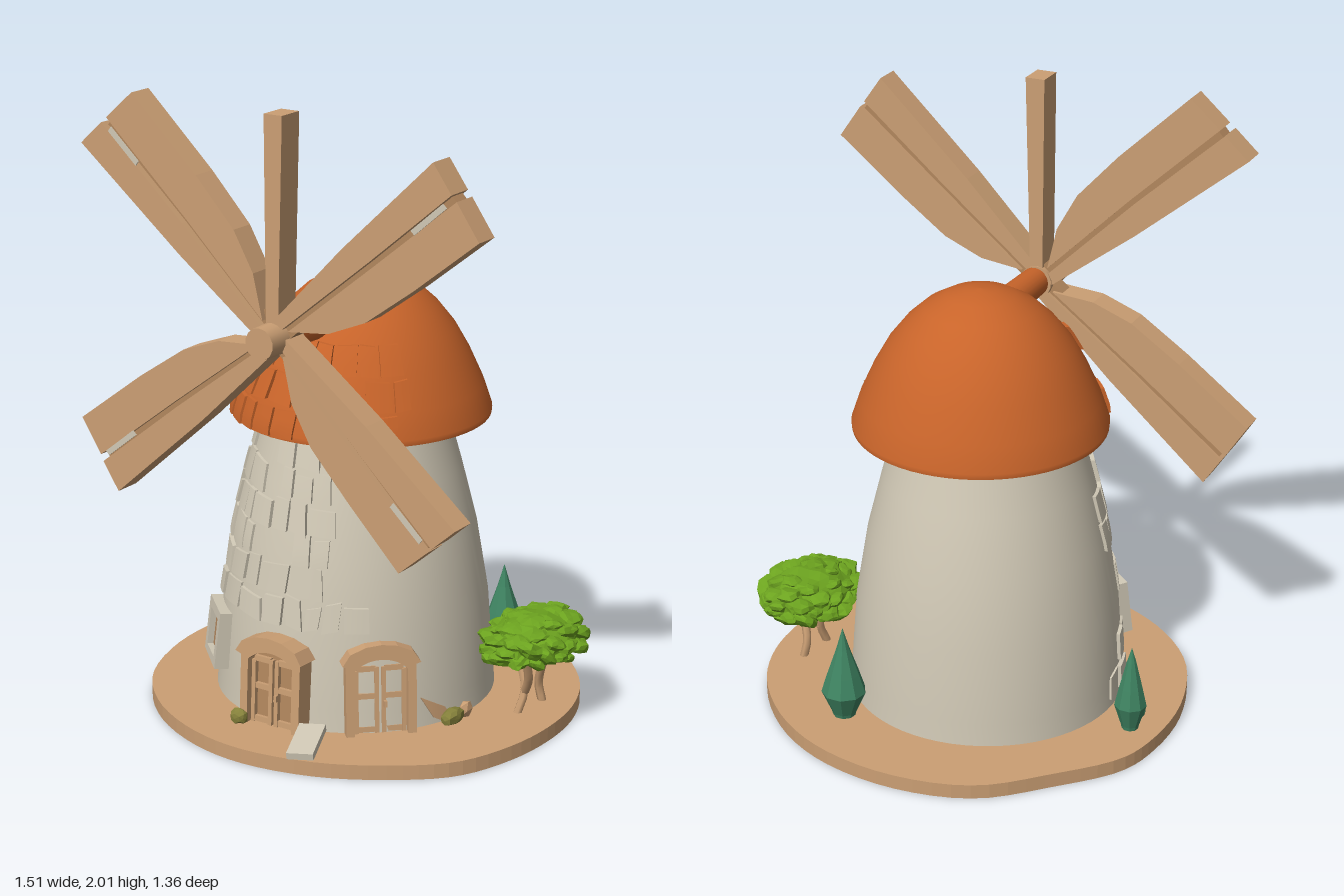
import * as THREE from 'three';

const mat = (name, color) => new THREE.MeshStandardMaterial({ name, color });

// Small seeded random
function seeded(seed) {
  return () => ((seed = (seed * 16807) % 2147483647) / 2147483647);
}

// Radius of a [radius, height] profile at height y
function radiusAt(profile, y) {
  for (let i = 1; i < profile.length; i++) {
    const [r0, y0] = profile[i - 1], [r1, y1] = profile[i];
    if (y <= y1) return r0 + (r1 - r0) * Math.max(0, (y - y0) / (y1 - y0));
  }
  return profile[profile.length - 1][0];
}

// Curved slab hugging a round profile; angle 0 faces +z and grows toward +x
function slab(profile, a0, a1, y0, y1, thick, skew = 0) {
  const g = new THREE.BoxGeometry(1, 1, 1, 4, 3, 1), p = g.attributes.position;
  for (let i = 0; i < p.count; i++) {
    const s = p.getX(i) + 0.5, t = p.getY(i) + 0.5;
    const y = y0 + (y1 - y0) * t + skew * (s - 0.5);
    const a = a0 + (a1 - a0) * s + skew * (t - 0.5) * 2;
    const r = radiusAt(profile, y) + (p.getZ(i) > 0 ? thick : -0.02);
    p.setXYZ(i, r * Math.sin(a), y, r * Math.cos(a));
  }
  g.computeVertexNormals();
  return g;
}

function flat(g) {
  const f = g.index ? g.toNonIndexed() : g;
  f.computeVertexNormals();
  return f;
}

// Icosahedron roughened by a position rule
function lump(detail, rough, seed) {
  const g = new THREE.IcosahedronGeometry(1, detail), p = g.attributes.position;
  const v = new THREE.Vector3();
  for (let i = 0; i < p.count; i++) {
    v.fromBufferAttribute(p, i);
    const n = Math.sin(v.x * 11 + seed) + Math.sin(v.y * 13 + seed * 2) + Math.sin(v.z * 12 - seed);
    v.multiplyScalar(1 + rough * n / 2);
    p.setXYZ(i, v.x, v.y, v.z);
  }
  return flat(g);
}

const polygon = (pts) => new THREE.Shape(pts.map(([x, y]) => new THREE.Vector2(x, y)));
const extrude = (shape, depth) =>
  new THREE.ExtrudeGeometry(shape, { depth, bevelEnabled: false, curveSegments: 12 });

export function createModel() {
  const root = new THREE.Group();
  const wood = mat('wood', 0xcb9f74), stone = mat('stone', 0xd0c8b5);
  const tile = mat('roofTile', 0xc8642a), leaf = mat('leaf', 0x6ca31f);
  const pine = mat('cypress', 0x3f8462), moss = mat('moss', 0x84803a);
  const darkWood = mat('darkWood', 0xb2875e);

  const add = (name, geo, material, parent = root, pos = [0, 0, 0], rot = [0, 0, 0], scale = [1, 1, 1]) => {
    const m = new THREE.Mesh(geo, material);
    m.name = name;
    m.position.set(...pos);
    m.rotation.set(...rot);
    m.scale.set(...scale);
    parent.add(m);
    return m;
  };
  const group = (name, pos = [0, 0, 0], parent = root) => {
    const g = new THREE.Group();
    g.name = name;
    g.position.set(...pos);
    parent.add(g);
    return g;
  };
  const lathe = (pts, seg = 64) =>
    new THREE.LatheGeometry(pts.map(([r, y]) => new THREE.Vector2(r, y)), seg);

  // Irregular ground plate
  const rim = [[0, -0.685], [0.27, -0.65], [0.48, -0.54], [0.65, -0.355], [0.725, -0.17], [0.74, 0.02],
    [0.71, 0.21], [0.63, 0.39], [0.48, 0.52], [0.27, 0.63], [0.02, 0.675], [-0.19, 0.64], [-0.4, 0.53],
    [-0.56, 0.355], [-0.645, 0.1], [-0.645, -0.125], [-0.6, -0.28], [-0.44, -0.46], [-0.25, -0.625]];
  const loop = new THREE.CatmullRomCurve3(rim.map(([x, z]) => new THREE.Vector3(x, -z, 0)), true);
  const plate = extrude(polygon(loop.getPoints(80).slice(0, -1).map((p) => [p.x, p.y])), 0.048);
  add('ground', plate.rotateX(-Math.PI / 2), wood);

  // Tower wall with raised stones over the front left
  const wall = [[0.455, 0.04], [0.448, 0.12], [0.43, 0.36], [0.39, 0.6], [0.34, 0.8], [0.29, 0.98], [0.285, 1.02]];
  const tower = group('tower', [0.01, 0, 0.005]);
  add('towerWall', lathe(wall), stone, tower);
  const rnd = seeded(77);
  for (let row = 0; row < 9; row++) {
    const y0 = 0.08 + row * 0.098;
    for (let a = -1.6 + rnd() * 0.2; a < 0.85;) {
      const w = 0.14 + rnd() * 0.16, h = 0.07 + rnd() * 0.03;
      const nearDoor = y0 < 0.33 && a + w > -0.3, nearWindow = y0 > 0.06 && y0 < 0.36 && a + w > -1.05 && a < -0.55;
      if (!nearDoor && !nearWindow && rnd() < (a > 0.35 || a < -1.2 ? 0.35 : 0.88))
        add('wallStone', slab(wall, a, a + w - 0.03, y0, y0 + h, 0.006 + rnd() * 0.008, (rnd() - 0.5) * 0.03), stone, tower);
      a += w;
    }
  }
  add('wallDirt', slab(wall, 1.1, 1.3, 0.045, 0.12, 0.004, -0.05), wood, tower);

  // Domed roof, dark underside lip and front shingles
  const dome = [[0.41, 0.972], [0.412, 0.99], [0.385, 1.07], [0.34, 1.17], [0.295, 1.25], [0.24, 1.32],
    [0.18, 1.375], [0.11, 1.415], [0.05, 1.431], [0, 1.435]];
  const roof = group('roof', [0.03, 0, -0.005]);
  add('roofDome', lathe(dome), tile, roof);
  add('roofUnderside', lathe([[0.25, 0.992], [0.41, 0.972]]), tile, roof);
  for (let row = 0; row < 3; row++) {
    for (let a = -0.95 + row * 0.08; a < 0.85;) {
      const w = 0.15 + rnd() * 0.12, y = 0.978 + row * 0.1;
      if (rnd() < 0.85)
        add('shingle', slab(dome, a, a + w - 0.03, y, y + 0.085, 0.008 + rnd() * 0.006, (rnd() - 0.5) * 0.015), tile, roof);
      a += w;
    }
  }

  // Axle and hub
  const sails = group('sails', [0.02, 1.315, 0]);
  add('axle', new THREE.CylinderGeometry(0.046, 0.056, 0.38, 24), tile, sails, [0.005, 0, 0.26], [Math.PI / 2, 0, 0]);
  add('hub', new THREE.CylinderGeometry(0.05, 0.054, 0.16, 14), wood, sails, [0, 0, 0.465], [Math.PI / 2, 0, 0]);

  // Four wide sails: two thick planks either side of a recessed beam
  for (const [deg, len] of [[143.8, 0.88], [47.2, 0.83], [-36.7, 0.81], [224.8, 0.85]]) {
    const sail = group('sail', [0, 0, 0.39], sails);
    sail.rotation.z = THREE.MathUtils.degToRad(deg);
    add('sparPlank', extrude(polygon([[0.03, 0.035], [0.4, 0.028], [len, 0], [len - 0.022, -0.105],
      [0.45, -0.06], [0.03, 0]]), 0.09), wood, sail);
    add('bladePlank', extrude(polygon([[0.06, -0.02], [0.45, -0.078], [len - 0.026, -0.128],
      [len - 0.055, -0.258], [0.5, -0.215], [0.3, -0.175], [0.17, -0.115]]), 0.085), wood, sail);
    add('sailBeam', extrude(polygon([[0, 0.01], [0.45, -0.05], [len - 0.035, -0.1], [len - 0.038, -0.135],
      [0.45, -0.085], [0, -0.03]]), 0.055), darkWood, sail, [0, 0, 0.012]);
    add('paleChip', extrude(polygon([[len - 0.2, -0.088], [len - 0.06, -0.104], [len - 0.06, -0.122],
      [len - 0.2, -0.106]]), 0.004), stone, sail, [0, 0, 0.0905]);
  }
  add('uprightBeam', extrude(polygon([[-0.02, 0.03], [0.024, 0.03], [0.045, 0.685], [-0.02, 0.685]]), 0.09),
    wood, sails, [0, 0, 0.39]);

  // Arched doorways
  const archShape = (w, side, top) => {
    const s = new THREE.Shape();
    s.moveTo(-w, 0);
    s.lineTo(w, 0);
    s.lineTo(w, side);
    s.quadraticCurveTo(w * 0.6, top, 0, top);
    s.quadraticCurveTo(-w * 0.6, top, -w, side);
    s.closePath();
    return s;
  };
  function door(angle, x, z) {
    const d = group('door', [x, 0.046, z]);
    d.rotation.set(-0.06, angle, 0, 'YXZ');
    const frame = archShape(0.112, 0.25, 0.29);
    frame.holes.push(archShape(0.085, 0.215, 0.25));
    add('doorFrame', extrude(frame, 0.1), wood, d, [0, 0, -0.1]);
    const brow = archShape(0.124, 0.255, 0.304);
    brow.holes.push(archShape(0.1, 0.228, 0.27));
    const cap = polygon([[-0.124, 0.24], [-0.1, 0.232], [-0.05, 0.258], [0, 0.265], [0.05, 0.258], [0.1, 0.232],
      [0.124, 0.24], [0.1, 0.277], [0.05, 0.298], [0, 0.304], [-0.05, 0.298], [-0.1, 0.277]]);
    add('doorLintel', extrude(cap, 0.11), wood, d, [0, 0, -0.095]);
    add('doorBack', extrude(archShape(0.088, 0.218, 0.252), 0.05), darkWood, d, [0, 0, -0.085]);
    for (const s of [-1, 1]) {
      add('doorStile', new THREE.BoxGeometry(0.014, 0.22, 0.02), wood, d, [s * 0.011, 0.11, -0.03]);
      add('doorStile', new THREE.BoxGeometry(0.014, 0.21, 0.02), wood, d, [s * 0.076, 0.105, -0.03]);
      for (const y of [0.015, 0.125, 0.215])
        add('doorRail', new THREE.BoxGeometry(0.06, 0.018, 0.018), wood, d, [s * 0.044, y, -0.031]);
    }
    add('doorHandle', new THREE.BoxGeometry(0.01, 0.02, 0.015), wood, d, [0.015, 0.1, -0.015]);
  }
  door(0, 0.01, 0.505);
  door(0.76, 0.335, 0.352);

  // Stone-framed window
  const win = group('window', [-0.3, 0.245, 0.325]);
  win.rotation.set(-0.12, -0.75, 0.03, 'YXZ');
  const surround = polygon([[-0.085, -0.085], [0.08, -0.1], [0.088, 0.09], [-0.075, 0.1]]);
  surround.holes.push(polygon([[-0.055, -0.062], [0.052, -0.068], [0.055, 0.06], [-0.05, 0.066]]));
  add('windowFrame', extrude(surround, 0.06), stone, win, [0, 0, -0.03]);
  add('windowPane', new THREE.BoxGeometry(0.115, 0.135, 0.01), darkWood, win, [0, 0, 0.005]);
  add('windowShutter', new THREE.BoxGeometry(0.045, 0.06, 0.009), tile, win, [0.02, -0.032, 0.012]);

  // Step slab and mossy rocks
  add('stepSlab', new THREE.BoxGeometry(0.085, 0.022, 0.17), stone, root, [0.195, 0.073, 0.565], [0.16, 0.35, 0]);
  for (const [x, z, w, d, s] of [[-0.1, 0.51, 0.03, 0.025, 1], [0.465, 0.14, 0.03, 0.05, 2]])
    add('mossyRock', lump(1, 0.1, s), moss, root, [x, 0.065, z], [0, 0, 0], [w, 0.028, d]);
  add('paleRock', lump(0, 0.1, 3), wood, root, [0.475, 0.07, 0.08], [0, 0, 0], [0.02, 0.03, 0.035]);

  // Cypress trees and a small shrub
  for (const [x, z, r, top] of [[-0.55, -0.1, 0.053, 0.342], [0.317, -0.427, 0.073, 0.365]]) {
    const tree = lathe([[0, 0.04], [r * 0.5, 0.045], [r * 0.55, 0.06], [r, 0.135], [r * 0.72, 0.2],
      [r * 0.3, 0.29], [0, top]], 9);
    add('cypress', flat(tree), pine, root, [x, 0, z]);
  }
  add('shrub', lump(1, 0.08, 4), pine, root, [-0.54, 0.075, -0.035], [0, 0, 0], [0.034, 0.032, 0.022]);

  // Leafy tree with two bent trunks
  const trunks = [[[0.6, 0.04, -0.03], [0.61, 0.12, -0.06], [0.56, 0.25, -0.08]],
    [[0.62, 0.04, -0.16], [0.61, 0.11, -0.15], [0.66, 0.25, -0.11]],
    [[0.61, 0.11, -0.06], [0.64, 0.17, -0.03], [0.65, 0.24, 0.0]]];
  for (const pts of trunks) {
    const curve = new THREE.CatmullRomCurve3(pts.map((p) => new THREE.Vector3(...p)));
    add('trunk', new THREE.TubeGeometry(curve, 8, 0.014, 6), wood);
  }
  const canopy = group('canopy', [0.61, 0.27, -0.12]);
  add('canopyCore', lump(3, 0.07, 5), leaf, canopy, [0, 0.01, 0], [0, 0, 0], [0.135, 0.08, 0.175]);
  for (let i = 0; i < 46; i++) {
    const a = i * 2.4, h = -0.55 + 1.5 * ((i + 0.5) / 46), c = Math.sqrt(Math.max(0.05, 1 - h * h));
    const s = 0.032 + rnd() * 0.02;
    add('leafClump', lump(1, 0.16, i), leaf, canopy, [Math.cos(a) * c * 0.125, h * 0.072 + 0.005, Math.sin(a) * c * 0.165],
      [rnd() - 0.5, a, rnd() - 0.5], [s, s * 0.5, s]);
  }
  return root;
}
